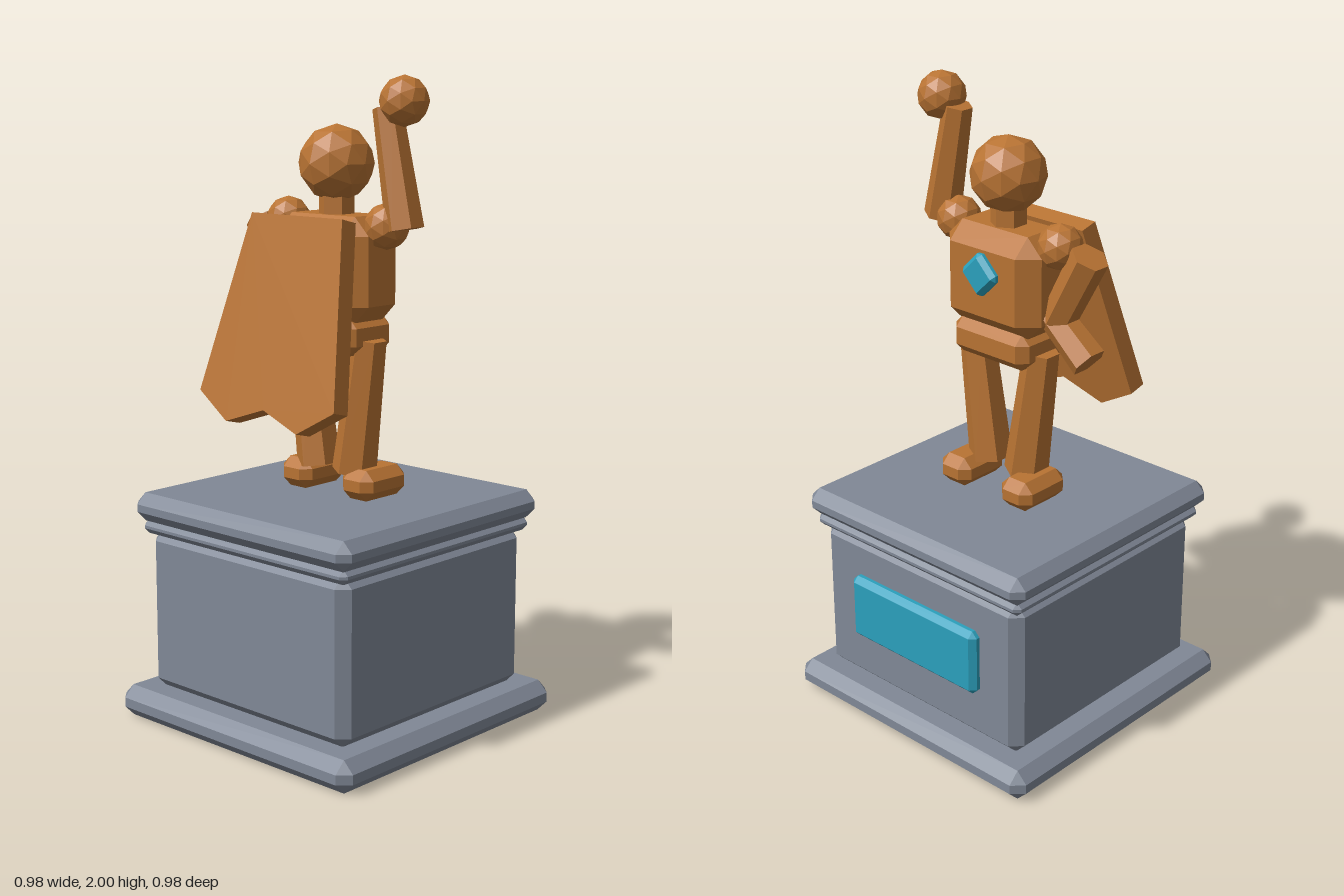
import * as THREE from 'three';
import { ConvexGeometry } from 'three/addons/geometries/ConvexGeometry.js';

export function createModel() {
  const group = new THREE.Group();
  const makeMaterial = (name, color) => {
    const m = new THREE.MeshStandardMaterial({ color, flatShading: true });
    m.name = name;
    return m;
  };
  const bronze = makeMaterial('bronze', 0xb87333);
  const stone = makeMaterial('stone', 0x808896);
  const cyan = makeMaterial('cyan', 0x2ba0bc);

  function add(name, geometry, material, x, y, z) {
    const mesh = new THREE.Mesh(geometry, material);
    mesh.name = name;
    mesh.position.set(x, y, z);
    group.add(mesh);
    return mesh;
  }

  // Box with every edge chamfered by c
  function chamferBox(w, h, d, c) {
    const points = [];
    for (const sx of [-1, 1]) for (const sy of [-1, 1]) for (const sz of [-1, 1]) {
      const x = w / 2, y = h / 2, z = d / 2;
      points.push(
        new THREE.Vector3(sx * x, sy * (y - c), sz * (z - c)),
        new THREE.Vector3(sx * (x - c), sy * y, sz * (z - c)),
        new THREE.Vector3(sx * (x - c), sy * (y - c), sz * z));
    }
    return new ConvexGeometry(points);
  }

  // Six-sided tapered limb leaning sideways by angle
  function limb(name, rTop, rBottom, length, x, y, angle) {
    add(name, new THREE.CylinderGeometry(rTop, rBottom, length, 6), bronze, x, y, 0).rotation.z = angle;
  }
  const ball = (name, r, x, y) => add(name, new THREE.IcosahedronGeometry(r, 1), bronze, x, y, 0);

  // Pedestal: name, width, bottom, top, chamfer
  for (const [name, w, y0, y1, c] of [
    ['plinth', 0.98, 0, 0.1, 0.035],
    ['pedestalBody', 0.83, 0.095, 0.61, 0.035],
    ['moulding', 0.86, 0.595, 0.64, 0.018],
    ['pedestalTop', 0.905, 0.635, 0.725, 0.033],
  ]) add(name, chamferBox(w, y1 - y0, w, c), stone, 0, (y0 + y1) / 2, 0);
  add('plaque', chamferBox(0.53, 0.215, 0.05, 0.018), cyan, 0, 0.372, -0.42);

  // Legs and feet
  for (const s of [-1, 1]) {
    const side = s > 0 ? 'left' : 'right';
    add(side + 'Foot', chamferBox(0.125, 0.095, 0.2, 0.03), bronze, s * 0.128, 0.7725, -0.03);
    limb(side + 'Leg', 0.055, 0.07, 0.42, s * 0.104, 1.01, -s * 0.14);
    ball(side + 'Shoulder', 0.07, s * 0.203, 1.56);
  }

  // Body and head
  add('hips', chamferBox(0.3, 0.115, 0.205, 0.03), bronze, 0, 1.228, 0);
  add('torso', chamferBox(0.37, 0.32, 0.23, 0.055), bronze, 0, 1.427, 0);
  add('neck', new THREE.CylinderGeometry(0.055, 0.055, 0.12, 6), bronze, 0, 1.61, 0);
  ball('head', 0.117, 0, 1.738);
  add('chestEmblem', chamferBox(0.105, 0.105, 0.04, 0.014), cyan, 0, 1.458, -0.12).rotation.z = Math.PI / 4;

  // Raised left arm
  limb('raisedArm', 0.045, 0.058, 0.36, 0.238, 1.73, 0.2);
  ball('fist', 0.075, 0.268, 1.925);

  // Bent right arm
  limb('upperArm', 0.058, 0.054, 0.25, -0.257, 1.445, 0.49);
  limb('forearm', 0.05, 0.057, 0.18, -0.25, 1.288, -0.88);

  // Cape: slab hanging from the shoulders, tilted outward, with a scalloped hem
  const shape = new THREE.Shape([
    [-0.186, 0], [-0.28, -0.555], [-0.147, -0.634], [0, -0.582],
    [0.147, -0.634], [0.28, -0.555], [0.186, 0],
  ].map(([x, y]) => new THREE.Vector2(x, y)));
  const capeGeometry = new THREE.ExtrudeGeometry(shape, { depth: 0.06, bevelEnabled: false });
  capeGeometry.translate(0, 0, -0.06);
  add('cape', capeGeometry, bronze, 0, 1.59, 0.175).rotation.x = -0.247;

  return group;
}
